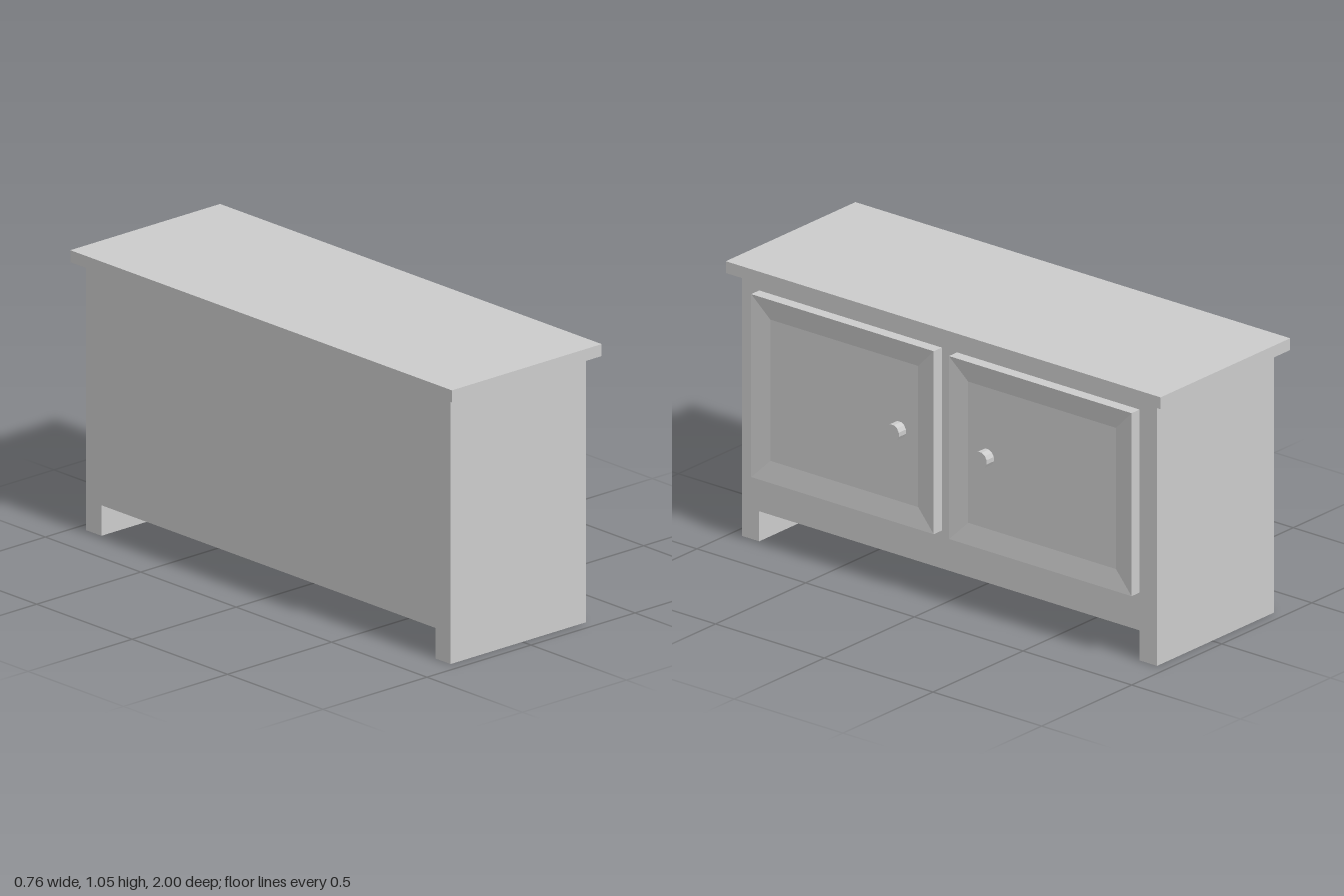
import * as THREE from 'three';

const material = new THREE.MeshStandardMaterial({ color: 0xcccccc, flatShading: true });

function add(group, name, geometry, x = 0, y = 0, z = 0) {
  const mesh = new THREE.Mesh(geometry, material);
  mesh.name = name;
  mesh.position.set(x, y, z);
  group.add(mesh);
  return mesh;
}

// Door slab facing +x, with a shallow sloped recess in its front
function doorGeometry(thickness, height, width, border, recess) {
  const ring = (x, inset) => {
    const h = height / 2 - inset, w = width / 2 - inset;
    return [[x, -h, w], [x, -h, -w], [x, h, -w], [x, h, w]];
  };
  const rings = [ring(0, 0), ring(thickness, 0), ring(thickness - recess, border)];
  const positions = [];
  const quad = (a, b, c, d) => [a, b, c, a, c, d].forEach((p) => positions.push(...p));
  for (let r = 0; r < 2; r++) {
    for (let i = 0; i < 4; i++) {
      const j = (i + 1) % 4;
      quad(rings[r][i], rings[r][j], rings[r + 1][j], rings[r + 1][i]);
    }
  }
  quad(...rings[2]);
  quad(...[...rings[0]].reverse());
  const geometry = new THREE.BufferGeometry();
  geometry.setAttribute('position', new THREE.Float32BufferAttribute(positions, 3));
  geometry.computeVertexNormals();
  return geometry;
}

export function createModel() {
  const cabinet = new THREE.Group();
  cabinet.name = 'cabinet';

  // Carcass: side profile with a cut-out between the feet, extruded through the depth
  const profile = new THREE.Shape([
    [-0.955, 0], [-0.875, 0], [-0.875, 0.115], [0.875, 0.115],
    [0.875, 0], [0.955, 0], [0.955, 1.005], [-0.955, 1.005],
  ].map(([u, v]) => new THREE.Vector2(u, v)));
  const carcass = new THREE.ExtrudeGeometry(profile, { depth: 0.65, bevelEnabled: false });
  carcass.rotateY(Math.PI / 2);
  add(cabinet, 'carcass', carcass, -0.345);

  // Overhanging top board
  add(cabinet, 'topBoard', new THREE.BoxGeometry(0.72, 0.045, 2), -0.02, 1.0275, 0);

  // Pair of panelled doors with round knobs
  for (const [side, s] of [['left', -1], ['right', 1]]) {
    add(cabinet, side + 'Door', doorGeometry(0.045, 0.7, 0.84, 0.08, 0.01), 0.305, 0.61, s * 0.455);
    const knob = new THREE.CylinderGeometry(0.032, 0.032, 0.045, 12);
    knob.rotateY(Math.PI / 12);
    knob.rotateZ(-Math.PI / 2);
    add(cabinet, side + 'Knob', knob, 0.3575, 0.614, s * 0.202);
  }

  return cabinet;
}
